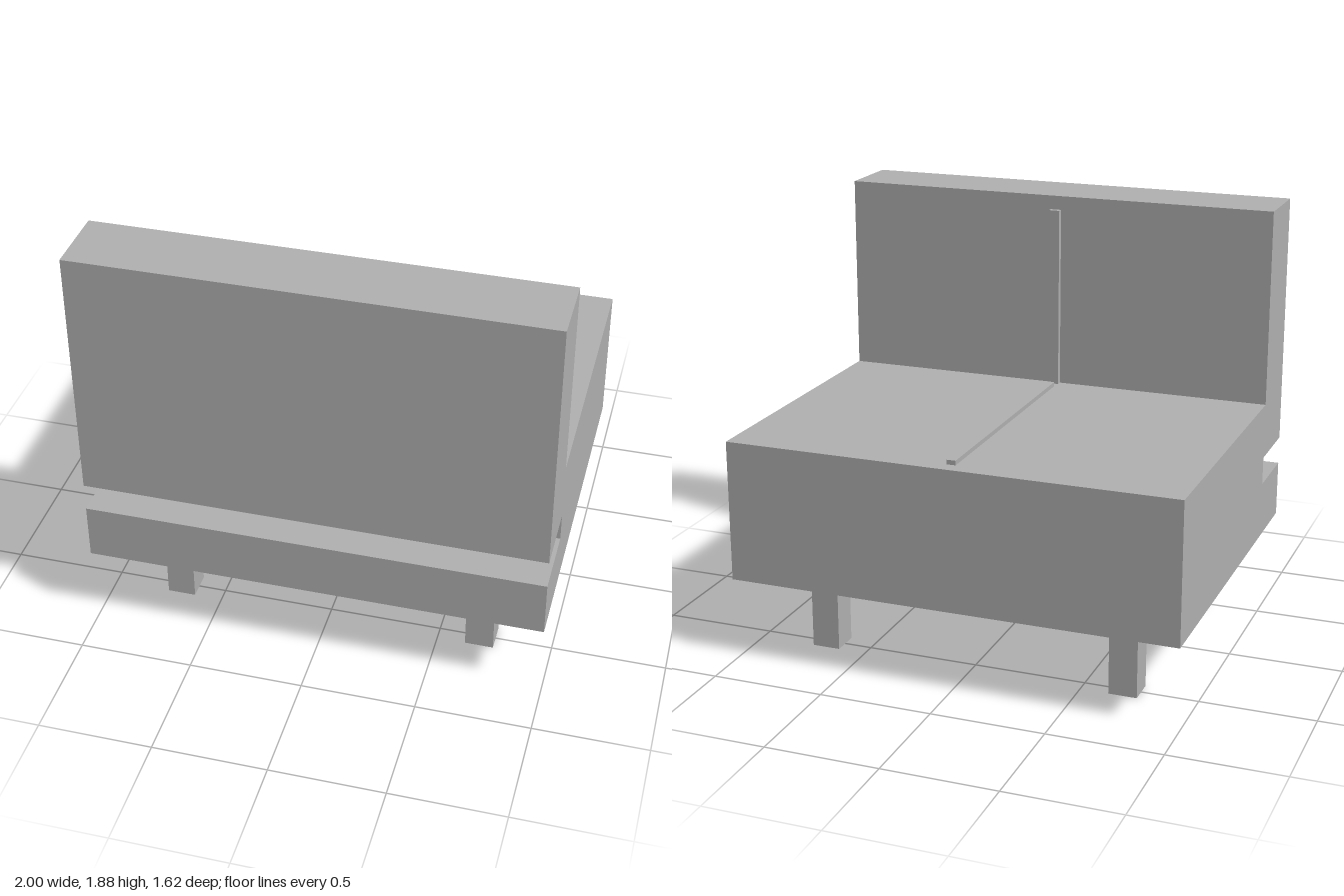
import * as THREE from 'three';

export function createModel() {
  const model = new THREE.Group();
  const grey = new THREE.MeshStandardMaterial({ color: 0xb2b2b2 });
  grey.name = 'grey upholstery';

  const add = (name, geometry, x = 0, y = 0, z = 0) => {
    const mesh = new THREE.Mesh(geometry, grey);
    mesh.name = name;
    mesh.position.set(x, y, z);
    model.add(mesh);
  };

  // Seat, backrest and the slot behind them: one side profile of [z, y] points
  const profile = [
    [0.8125, 0.375], [-0.8125, 0.375], [-0.8125, 1], [0.5, 1], [0.5, 1.875],
    [0.8125, 1.875], [0.8125, 0.75], [0.5, 0.75], [0.5, 0.625], [0.8125, 0.625],
  ];
  const shape = new THREE.Shape(profile.map(([z, y]) => new THREE.Vector2(-z, y)));
  const body = new THREE.ExtrudeGeometry(shape, { depth: 2, bevelEnabled: false });
  body.translate(0, 0, -1).rotateY(Math.PI / 2);
  add('seatAndBackrest', body);

  // Raised centre seams on the seat and the backrest
  add('seatSeam', new THREE.BoxGeometry(0.04, 0.02, 1.185), 0, 1.01, -0.1575);
  add('backrestSeam', new THREE.BoxGeometry(0.05, 0.8125, 0.025), 0, 1.40625, 0.4875);

  // Four square legs
  for (const x of [-0.6875, 0.6875]) {
    for (const z of [-0.5, 0.5]) {
      add('leg', new THREE.BoxGeometry(0.125, 0.375, 0.125), x, 0.1875, z);
    }
  }

  return model;
}
